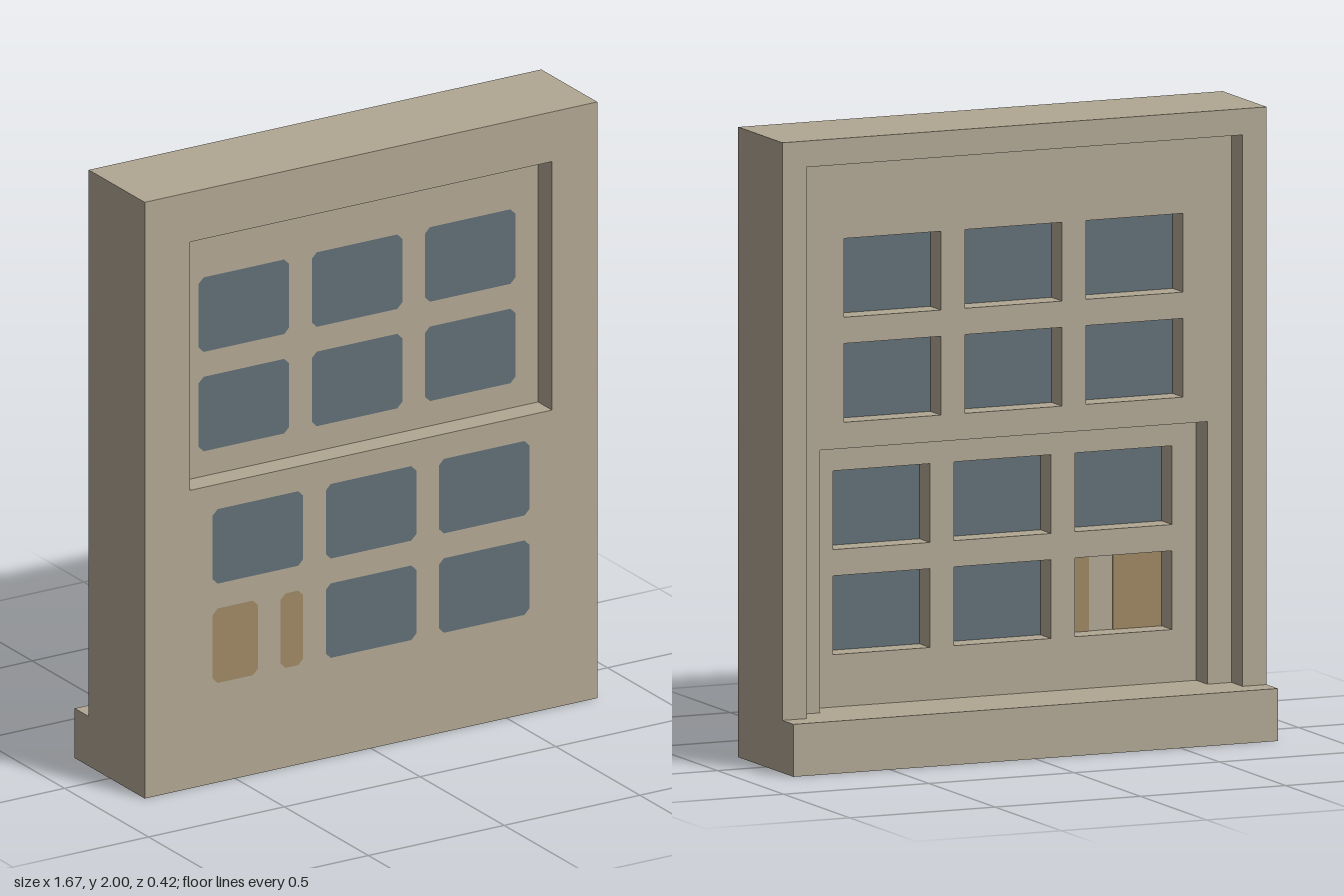
import * as THREE from 'three';

const U = 1 / 12; // one grid unit of the joinery

const timber = new THREE.MeshStandardMaterial({ color: 0xb1a793 });
timber.name = 'painted timber';
const glass = new THREE.MeshStandardMaterial({ color: 0x606f76 });
glass.name = 'blue grey glass';
const board = new THREE.MeshStandardMaterial({ color: 0x9f8763 });
board.name = 'brown board';

// Rectangle from [x0, y0, x1, y1] in grid units, with optional clipped corners
function outline(r, clip = 0, Type = THREE.Shape) {
  const [x0, y0, x1, y1] = r;
  const c = clip;
  const pts = c
    ? [[x0 + c, y0], [x1 - c, y0], [x1, y0 + c], [x1, y1 - c], [x1 - c, y1], [x0 + c, y1], [x0, y1 - c], [x0, y0 + c]]
    : [[x0, y0], [x1, y0], [x1, y1], [x0, y1]];
  return new Type(pts.map(([x, y]) => new THREE.Vector2(x * U, y * U)));
}

// Slab between z0 and z1 with openings cut through it
function slab(name, material, rect, z0, z1, holes = [], holeClip = 0, clip = 0) {
  const shape = outline(rect, clip);
  shape.holes = holes.map((h) => outline(h, holeClip, THREE.Path));
  const geo = new THREE.ExtrudeGeometry(shape, { depth: (z1 - z0) * U, bevelEnabled: false });
  geo.translate(0, 0, z0 * U);
  const mesh = new THREE.Mesh(geo, material);
  mesh.name = name;
  return mesh;
}

const CLIP = 0.22;

// Sash two units thick: panes flush with the front, deep openings at the back
function sash(name, rect, z0, openings, panes) {
  const group = new THREE.Group();
  group.name = name;
  group.add(
    slab(name + 'Back', timber, rect, z0, z0 + 1, openings),
    slab(name + 'Front', timber, rect, z0 + 1, z0 + 2, panes.map((p) => p.rect), CLIP)
  );
  for (const p of panes) {
    group.add(
      slab(p.name, p.material, p.rect, z0 + 1, z0 + 2, [], 0, CLIP),
      slab(p.name + 'Inside', p.material, p.rect, z0 + 0.95, z0 + 1)
    );
  }
  return group;
}

// Three columns of openings in the given rows
const openingsAt = (rows) => rows.flatMap((y) => [-7, -2, 3].map((x) => [x, y, x + 4, y + 3]));
const glazed = (rect) => ({ name: 'pane', material: glass, rect });

export function createModel() {
  const model = new THREE.Group();
  model.name = 'sashWindow';

  // Stepped outer frame
  const frame = new THREE.Group();
  frame.name = 'frame';
  frame.add(
    slab('frameFront', timber, [-10, 0, 10, 24], -0.5, 2.5, [[-8, 2, 8, 22]]),
    slab('frameBack', timber, [-10, 0, 10, 24], -1.5, -0.5, [[-9, 2, 9, 23]])
  );
  model.add(frame);

  // Projecting sill
  model.add(slab('sill', timber, [-10, 0, 10, 2], -2.5, -1.5));

  // Upper sash, set back from the front
  const upper = openingsAt([13, 17]);
  model.add(sash('upperSash', [-8, 12, 8, 22], -0.5, upper, upper.map(glazed)));

  // Lower sash, with two boards in place of one pane
  const lower = openingsAt([4, 8]);
  const boards = [[-7, 4, -5, 7], [-4, 4, -3, 7]].map((rect) => ({ name: 'board', material: board, rect }));
  model.add(sash('lowerSash', [-8, 2, 8, 12], 0.5, lower, [...boards, ...lower.slice(1).map(glazed)]));

  return model;
}
